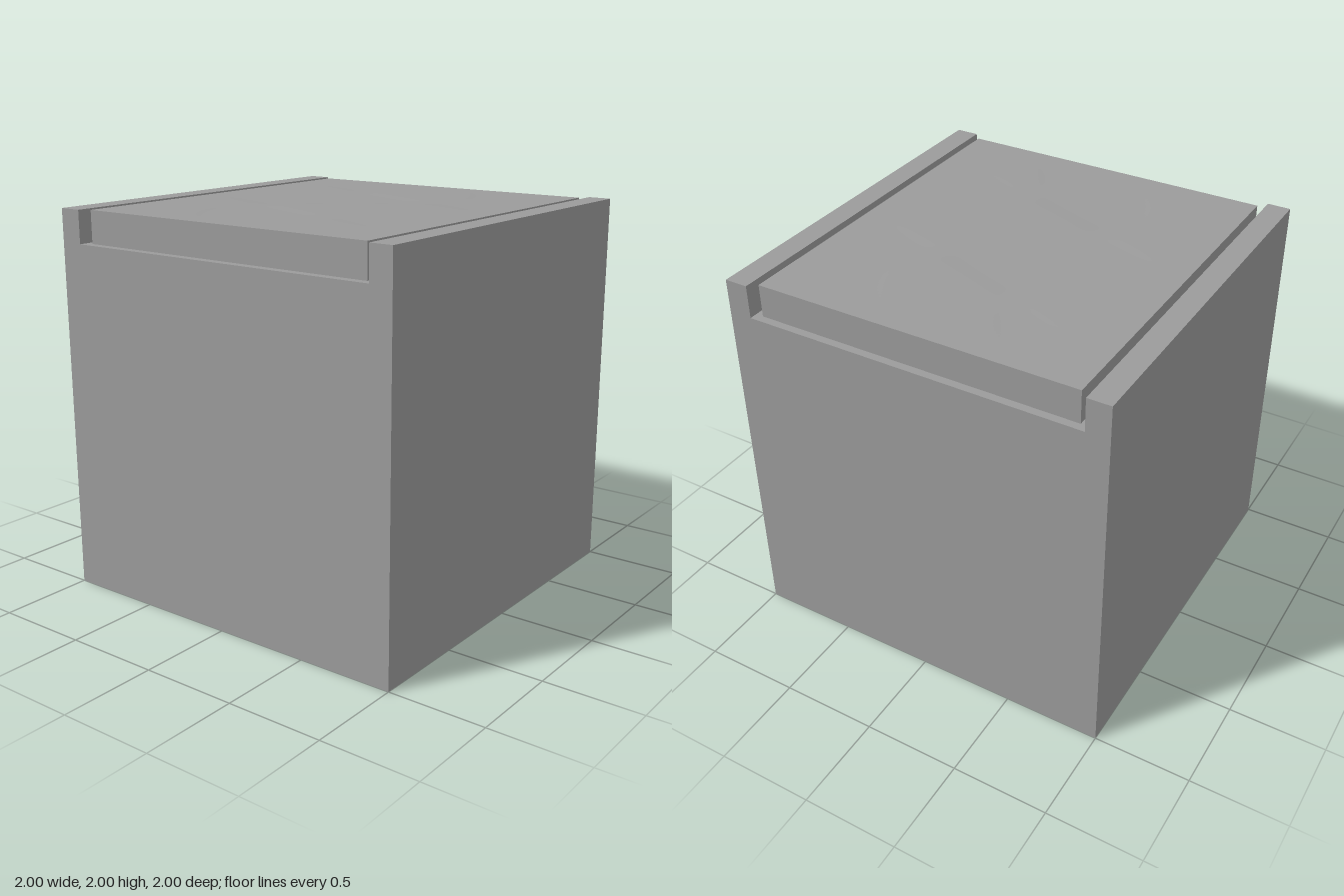
import * as THREE from 'three';

const material = () => new THREE.MeshStandardMaterial({ color: 0x9b9b9b, side: THREE.DoubleSide });

// Outline of the housing: two rails with a wide channel between them
const OUTLINE = [
  [1, 0], [1, 2], [0.88, 2], [0.88, 1.83],
  [-0.88, 1.83], [-0.88, 2], [-1, 2], [-1, 0],
];

function add(group, name, geometry) {
  const mesh = new THREE.Mesh(geometry, material());
  mesh.name = name;
  group.add(mesh);
  return mesh;
}

// Strip that follows the outline from front to back, left open at the bottom
function wrapGeometry() {
  const pos = [];
  for (let i = 0; i < OUTLINE.length - 1; i++) {
    const [ax, ay] = OUTLINE[i], [bx, by] = OUTLINE[i + 1];
    pos.push(ax, ay, 1, ax, ay, -1, bx, by, -1);
    pos.push(ax, ay, 1, bx, by, -1, bx, by, 1);
  }
  const g = new THREE.BufferGeometry();
  g.setAttribute('position', new THREE.Float32BufferAttribute(pos, 3));
  g.computeVertexNormals();
  return g;
}

// Block whose top carries very shallow, winding steps
function blockGeometry() {
  const w = 1.68, h = 1.958, d = 1.915;
  const g = new THREE.BoxGeometry(w, h, d, 84, 1, 96);
  const p = g.attributes.position;
  for (let i = 0; i < p.count; i++) {
    if (p.getY(i) < 0) continue;
    const x = p.getX(i), z = p.getZ(i);
    const fade = Math.max(0, (1 - (2 * x / w) ** 2) * (1 - (2 * z / d) ** 2));
    const wave = Math.sin(5 * x + 2 * Math.sin(3 * z)) * Math.cos(4 * z - 1.5 * x);
    p.setY(i, h / 2 + 0.002 * fade * Math.tanh(8 * wave));
  }
  g.computeVertexNormals();
  return g;
}

export function createModel() {
  const model = new THREE.Group();
  model.name = 'blockInHousing';

  // Thin housing with an open underside
  const housing = new THREE.Group();
  housing.name = 'housing';
  model.add(housing);
  add(housing, 'sidesRailsAndChannel', wrapGeometry());
  const face = new THREE.Shape(OUTLINE.map(([x, y]) => new THREE.Vector2(x, y)));
  for (const [name, side] of [['frontWall', 1], ['backWall', -1]]) {
    const wall = add(housing, name, new THREE.ShapeGeometry(face));
    wall.position.z = side;
    if (side < 0) wall.rotation.y = Math.PI;
  }

  // Inner block, rising from just above the ground through the channel
  const block = add(model, 'innerBlock', blockGeometry());
  block.position.set(0, 0.04 + 1.958 / 2, -0.002);

  return model;
}
